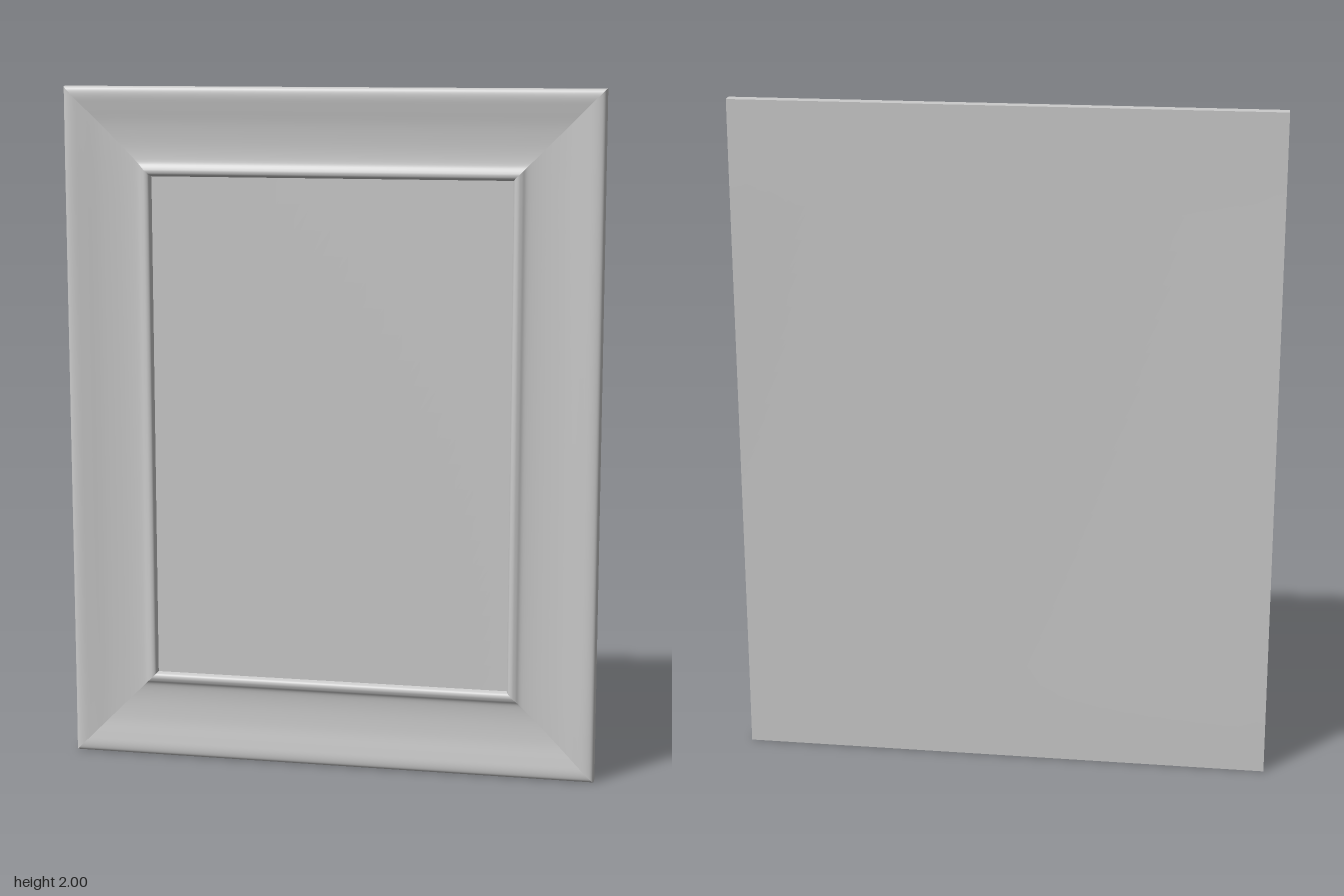
import * as THREE from 'three';

const HX = 0.785, HY = 1, BACK = -0.022, PANEL = 0.008, RAIL = 0.258;
const material = new THREE.MeshStandardMaterial({ color: 0xcccccc });

// Slight twist of the whole board, strongest along the bottom edge
function warp(x, y) {
  const across = x < 0.15 ? 0.018 * (x - 0.15) / 0.935 : 0.012 * (x - 0.15) / 0.635;
  return across * Math.min(1, Math.max(0, 1 - (y - 0.2) / 1.6));
}

// Moves every vertex by a rule, adds the twist and stands the piece on y = 0
function shaped(geometry, rule) {
  const p = geometry.attributes.position;
  for (let i = 0; i < p.count; i++) {
    const [x, y, z] = rule(p.getX(i), p.getY(i), p.getZ(i));
    p.setXYZ(i, x, y + HY, z + warp(x, y + HY));
  }
  geometry.computeVertexNormals();
  return geometry;
}

// One mitred side: sweeps a profile of (inset, z) along side k of the rectangle
function side(k, profileAt, steps) {
  const [a, b] = k % 2 ? [HY, HX] : [HX, HY];
  const c = [1, 0, -1, 0][k], s = [0, 1, 0, -1][k];
  return shaped(new THREE.PlaneGeometry(2, 1, 20, steps), (u, v) => {
    const q = profileAt(v + 0.5);
    const x = u * (a - q.x), y = -(b - q.x);
    return [c * x - s * y, s * x + c * y, q.y];
  });
}

export function createModel() {
  const group = new THREE.Group();
  const add = (name, geometry) => {
    const mesh = new THREE.Mesh(geometry, material);
    mesh.name = name;
    group.add(mesh);
  };

  // Rounded rim, shallow cove, raised inner bead, step down to the panel
  const moulding = new THREE.SplineCurve([
    [0, 0.012], [0.003, 0.02], [0.012, 0.025], [0.03, 0.026], [0.06, 0.022],
    [0.11, 0.015], [0.17, 0.012], [0.215, 0.015], [0.232, 0.023], [0.243, 0.026],
    [0.253, 0.022], [RAIL, PANEL],
  ].map(([d, z]) => new THREE.Vector2(d, z)));
  const edge = new THREE.LineCurve(new THREE.Vector2(0, BACK), new THREE.Vector2(0, 0.012));

  ['bottom', 'right', 'top', 'left'].forEach((label, k) => {
    // side 1 lies at +x, which is the model's own left
    const name = { right: 'left', left: 'right' }[label] ?? label;
    add(`${name}Moulding`, side(k, t => moulding.getPoint(t), 55));
    add(`${name}OuterEdge`, side(k, t => edge.getPoint(t), 1));
  });

  // Flat picture panel and backing board
  add('panel', shaped(new THREE.PlaneGeometry(2 * (HX - RAIL), 2 * (HY - RAIL), 20, 20),
    (x, y) => [x, y, PANEL]));
  add('backBoard', shaped(new THREE.PlaneGeometry(2 * HX, 2 * HY, 20, 20),
    (x, y) => [-x, y, BACK]));

  return group;
}
